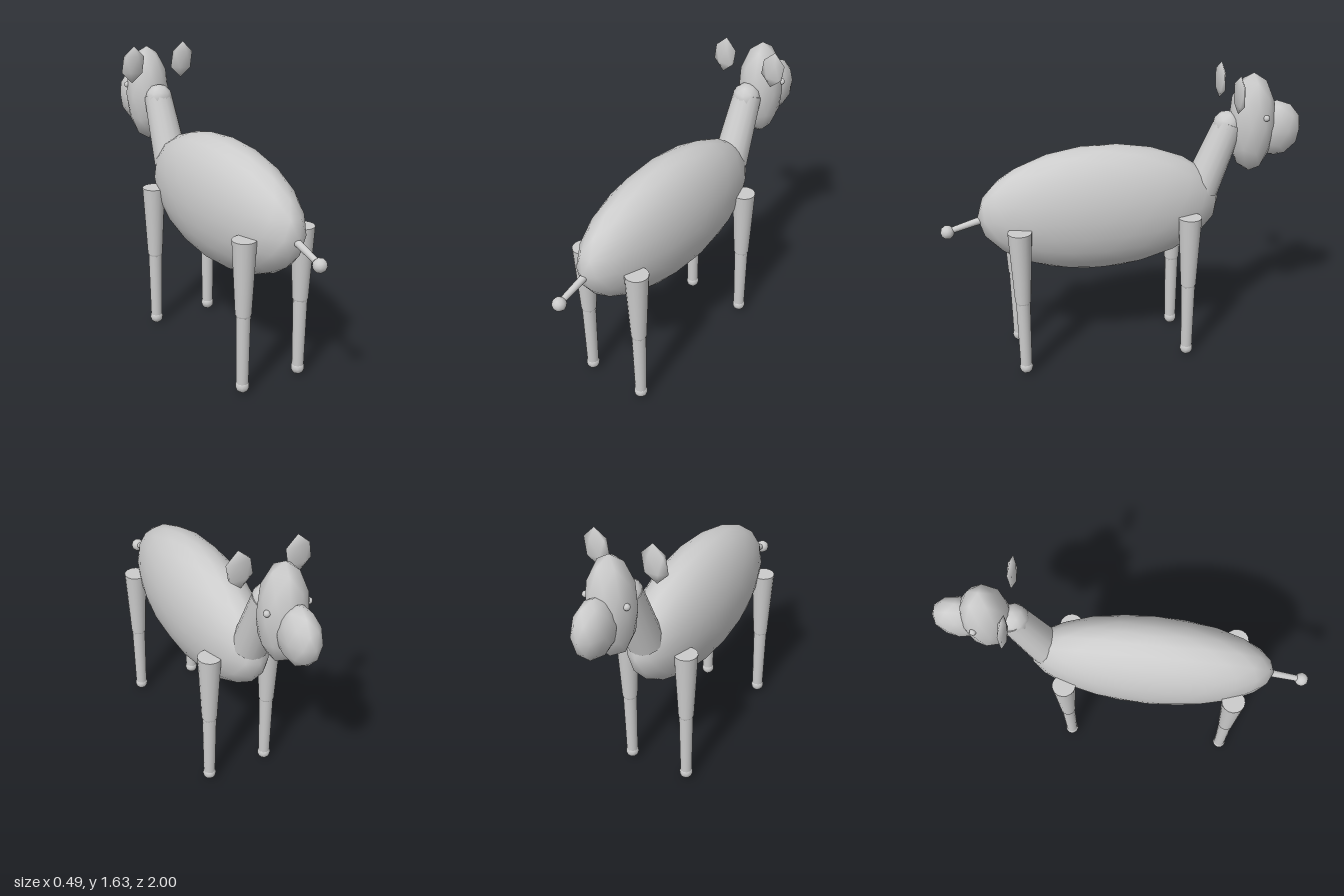
import * as THREE from 'three';

const clay = new THREE.MeshStandardMaterial({ color: 0xcccccc });
clay.name = 'clayGrey';

export function createModel() {
  const model = new THREE.Group();
  model.name = 'fourLeggedAnimal';

  const add = (name, geometry) => {
    const mesh = new THREE.Mesh(geometry, clay);
    mesh.name = name;
    model.add(mesh);
    return mesh;
  };

  // Faceted ball with a corner at each pole, stretched to an ellipsoid
  const ball = (name, [x, y, z], [rx, ry, rz], detail) => {
    const geometry = new THREE.IcosahedronGeometry(1, detail);
    geometry.rotateZ(-Math.atan(2 / (1 + Math.sqrt(5))));
    // Smooth normals: on a unit ball they equal the positions
    geometry.setAttribute('normal', geometry.attributes.position.clone());
    geometry.scale(rx, ry, rz);
    const mesh = add(name, geometry);
    mesh.position.set(x, y, z);
    return mesh;
  };

  // Tapered limb running from point a (radius ra) to point b (radius rb)
  const limb = (name, a, ra, b, rb, sides = 16) => {
    const from = new THREE.Vector3(...a);
    const to = new THREE.Vector3(...b);
    const dir = to.clone().sub(from);
    const mesh = add(name, new THREE.CylinderGeometry(rb, ra, dir.length(), sides));
    mesh.position.copy(from).add(to).multiplyScalar(0.5);
    mesh.quaternion.setFromUnitVectors(new THREE.Vector3(0, 1, 0), dir.normalize());
  };

  // Trunk
  ball('body', [0, 0.895, 0.13], [0.22, 0.355, 0.67], 3);

  // Neck and head
  limb('neck', [0, 0.96, -0.437], 0.1, [0, 1.33, -0.587], 0.08);
  ball('neckTop', [0, 1.317, -0.575], [0.08, 0.08, 0.08], 1);
  ball('head', [0, 1.32, -0.715], [0.127, 0.28, 0.132], 1);
  ball('muzzle', [0, 1.28, -0.857], [0.093, 0.158, 0.145], 1);

  // Ears and eyes
  for (const side of [-1, 1]) {
    const label = side > 0 ? 'left' : 'right';
    const ear = ball(label + 'Ear', [side * 0.16, 1.527, -0.582], [0.077, 0.105, 0.024], 0);
    ear.rotation.z = -0.09;
    ball(label + 'Eye', [side * 0.114, 1.375, -0.757], [0.018, 0.018, 0.018], 1);
  }

  // Legs: thigh, knee, shin and foot
  for (const [end, z] of [['tailEnd', 0.595], ['headEnd', -0.33]]) {
    for (const side of [-1, 1]) {
      const label = end + (side > 0 ? 'Left' : 'Right');
      const x = side * 0.18;
      limb(label + 'Thigh', [x, 0.46, z], 0.043, [x, 0.867, z], 0.064);
      ball(label + 'Knee', [x, 0.465, z], [0.043, 0.043, 0.043], 1);
      limb(label + 'Shin', [x, 0.04, z], 0.032, [x, 0.46, z], 0.039);
      ball(label + 'Foot', [x, 0.045, z], [0.038, 0.04, 0.038], 1);
    }
  }

  // Tail with tuft
  limb('tail', [0, 0.885, 0.76], 0.021, [0, 0.828, 0.96], 0.016, 12);
  ball('tailTuft', [0, 0.825, 0.962], [0.038, 0.038, 0.038], 1);

  return model;
}
